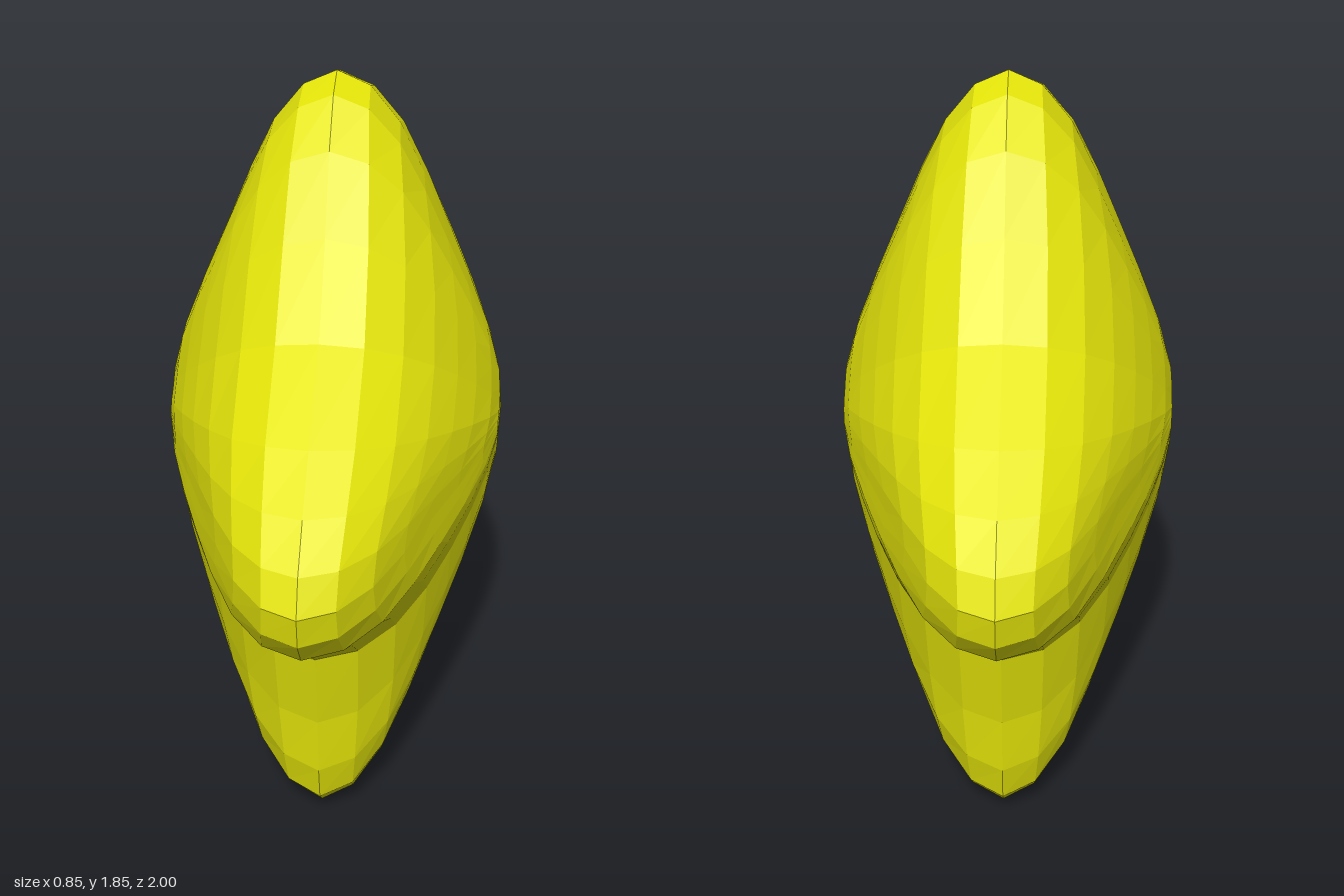
import * as THREE from 'three';

const CENTRE_Y = 0.97;

// Half of the star outline as [z, y], from the top point down to the notch between the feet.
// Every 8th point is the tip of an arm, with the notches halfway between.
const HALF_OUTLINE = [
  [0, 1.85], [0.1, 1.82], [0.21, 1.72], [0.32, 1.55], [0.48, 1.36], [0.72, 1.22],
  [0.86, 1.13], [0.96, 1.05], [1, 0.97], [0.985, 0.89], [0.92, 0.81], [0.79, 0.73],
  [0.62, 0.59], [0.57, 0.36], [0.55, 0.19], [0.52, 0.08], [0.46, 0.02], [0.385, 0],
  [0.28, 0.04], [0.13, 0.1], [0, 0.12],
];

// Thickness along an arm ridge: [outline scale, half thickness in x], from the middle to the rim
const PROFILE = [
  [0, 0.427], [0.12, 0.418], [0.26, 0.382], [0.42, 0.325], [0.57, 0.268],
  [0.72, 0.212], [0.86, 0.152], [0.96, 0.08], [1, 0],
];

// The notches are fuller than the ridges: lean towards an ellipse between the arms
function thickness(s, ridge, j) {
  const notch = (1 - Math.cos((j * Math.PI) / 4)) / 2;
  const ellipse = PROFILE[0][1] * Math.sqrt(1 - s * s);
  return THREE.MathUtils.lerp(ridge, ellipse, 0.55 * notch);
}

function starGeometry() {
  // Mirror the half outline, and run the profile over the rim to the other face
  const mirrored = HALF_OUTLINE.slice(1, -1).reverse().map(([z, y]) => [-z, y]);
  const outline = [...HALF_OUTLINE, ...mirrored];
  const front = PROFILE.map(([s, x]) => [s, x, 1]);
  const back = PROFILE.slice(0, -1).reverse().map(([s, x]) => [s, x, -1]);
  const rings = [...front, ...back];
  const n = outline.length;

  const positions = [];
  for (const [s, x, side] of rings) {
    outline.forEach(([z, y], j) => {
      positions.push(side * thickness(s, x, j), CENTRE_Y + (y - CENTRE_Y) * s, z * s);
    });
  }

  const index = [];
  for (let k = 0; k < rings.length - 1; k++) {
    for (let j = 0; j < n; j++) {
      const next = (j + 1) % n;
      const a = k * n + j, d = k * n + next;
      const b = a + n, c = d + n;
      if (k < rings.length - 2) index.push(a, b, c);
      if (k > 0) index.push(a, c, d);
    }
  }

  const geometry = new THREE.BufferGeometry();
  geometry.setAttribute('position', new THREE.Float32BufferAttribute(positions, 3));
  geometry.setIndex(index);
  geometry.computeVertexNormals();
  return geometry;
}

export function createModel() {
  const group = new THREE.Group();
  group.name = 'star';
  const material = new THREE.MeshStandardMaterial({ color: 0xe6e60a, flatShading: true });
  const body = new THREE.Mesh(starGeometry(), material);
  body.name = 'starBody';
  group.add(body);
  return group;
}
